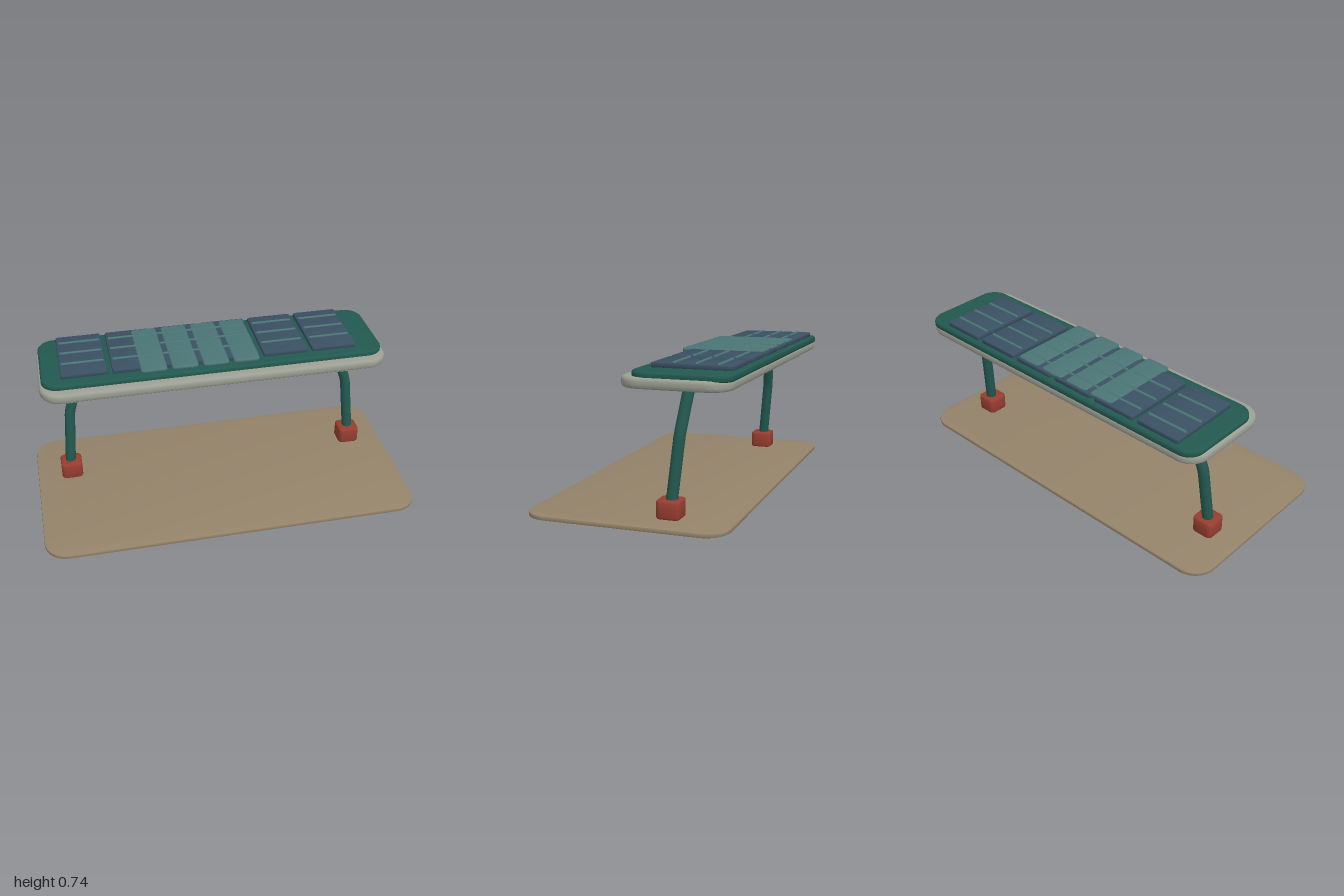
import * as THREE from 'three';
import { toCreasedNormals } from 'three/addons/utils/BufferGeometryUtils.js';

const material = (name, color) => {
  const m = new THREE.MeshStandardMaterial({ color });
  m.name = name;
  return m;
};

// Horizontal rounded slab with bevelled rims, sitting between y0 and y1
function slab(x0, x1, y0, y1, z0, z1, radius, bevel, segments = 3) {
  const w = (x1 - x0) / 2 - bevel, d = (z1 - z0) / 2 - bevel;
  const r = Math.max(radius - bevel, 0.002);
  const s = new THREE.Shape();
  s.absarc(w - r, d - r, r, 0, Math.PI / 2);
  s.absarc(-w + r, d - r, r, Math.PI / 2, Math.PI);
  s.absarc(-w + r, -d + r, r, Math.PI, Math.PI * 1.5);
  s.absarc(w - r, -d + r, r, Math.PI * 1.5, Math.PI * 2);
  const g = new THREE.ExtrudeGeometry(s, {
    depth: y1 - y0 - 2 * bevel, bevelEnabled: true, bevelSize: bevel,
    bevelThickness: bevel, bevelSegments: segments, curveSegments: 8,
  });
  g.rotateX(-Math.PI / 2);
  g.translate((x0 + x1) / 2, y0 + bevel, (z0 + z1) / 2);
  return toCreasedNormals(g, 0.6);
}

export function createModel() {
  const sand = material('sand paving', 0x94836a);
  const brick = material('brick red', 0x963d2f);
  const green = material('deep green', 0x22584f);
  const grey = material('warm grey', 0x9c9f93);
  const navy = material('solar blue', 0x3a5062);
  const teal = material('pale teal', 0x4b7576);

  const model = new THREE.Group();
  model.name = 'solarShelter';
  const add = (name, geometry, mat, parent = model) => {
    const mesh = new THREE.Mesh(geometry, mat);
    mesh.name = name;
    parent.add(mesh);
    return mesh;
  };

  // Ground plate
  add('basePlate', slab(-1, 1, 0, 0.022, -0.5, 0.5, 0.12, 0.005, 2), sand);

  // Footings and bent posts
  for (const side of [-1, 1]) {
    const name = side > 0 ? 'left' : 'right';
    const cx = side * 0.81;
    add(name + 'Footing', slab(cx - 0.058, cx + 0.058, 0.02, 0.11, -0.245, -0.128, 0.025, 0.01), brick);
    const p = (x, y, z) => new THREE.Vector3(side * x, y, z);
    const path = new THREE.CurvePath();
    path.add(new THREE.LineCurve3(p(0.813, 0.09, -0.191), p(0.789, 0.385, -0.22)));
    path.add(new THREE.QuadraticBezierCurve3(p(0.789, 0.385, -0.22), p(0.786, 0.415, -0.223), p(0.775, 0.445, -0.226)));
    path.add(new THREE.LineCurve3(p(0.775, 0.445, -0.226), p(0.705, 0.65, -0.247)));
    add(name + 'Post', new THREE.TubeGeometry(path, 40, 0.028, 16), green);
  }

  // Canopy: grey tray with green roof cap
  add('canopyTray', slab(-0.933, 0.933, 0.632, 0.685, -0.494, 0.04, 0.11, 0.017), grey);
  add('roofCap', slab(-0.92, 0.92, 0.672, 0.711, -0.497, -0.013, 0.09, 0.013), green);

  // Solar panels, each with three raised rails
  for (let i = 0; i < 6; i++) {
    const panel = new THREE.Group();
    panel.name = 'solarPanel' + (i + 1);
    model.add(panel);
    const cx = -0.695 + i * 0.2695;
    add('panelPlate', slab(cx - 0.122, cx + 0.122, 0.71, 0.735, -0.473, -0.074, 0.012, 0.006, 2), navy, panel);
    for (const z of [-0.4, -0.293, -0.185]) {
      const rail = new THREE.CapsuleGeometry(0.008, 0.21, 4, 8);
      rail.rotateZ(Math.PI / 2);
      rail.translate(cx, 0.735, z);
      add('panelRail', rail, teal, panel);
    }
  }

  // Pale slats laid over the middle panels
  for (let i = 0; i < 4; i++) {
    const cx = -0.335 + i * 0.165;
    add('roofSlat' + (i + 1), slab(cx - 0.07, cx + 0.07, 0.717, 0.74, -0.463, -0.03, 0.018, 0.009), teal);
  }

  // Light strip and two round lamps below the tray
  const strip = new THREE.BoxGeometry(1.6, 0.009, 0.025);
  strip.translate(0, 0.622, -0.003);
  add('lightStrip', strip, grey);
  for (const x of [-0.33, 0.33]) {
    const lamp = new THREE.CylinderGeometry(0.034, 0.034, 0.008, 24);
    lamp.translate(x, 0.613, -0.043);
    add('lampDisc', lamp, grey);
  }
  return model;
}
